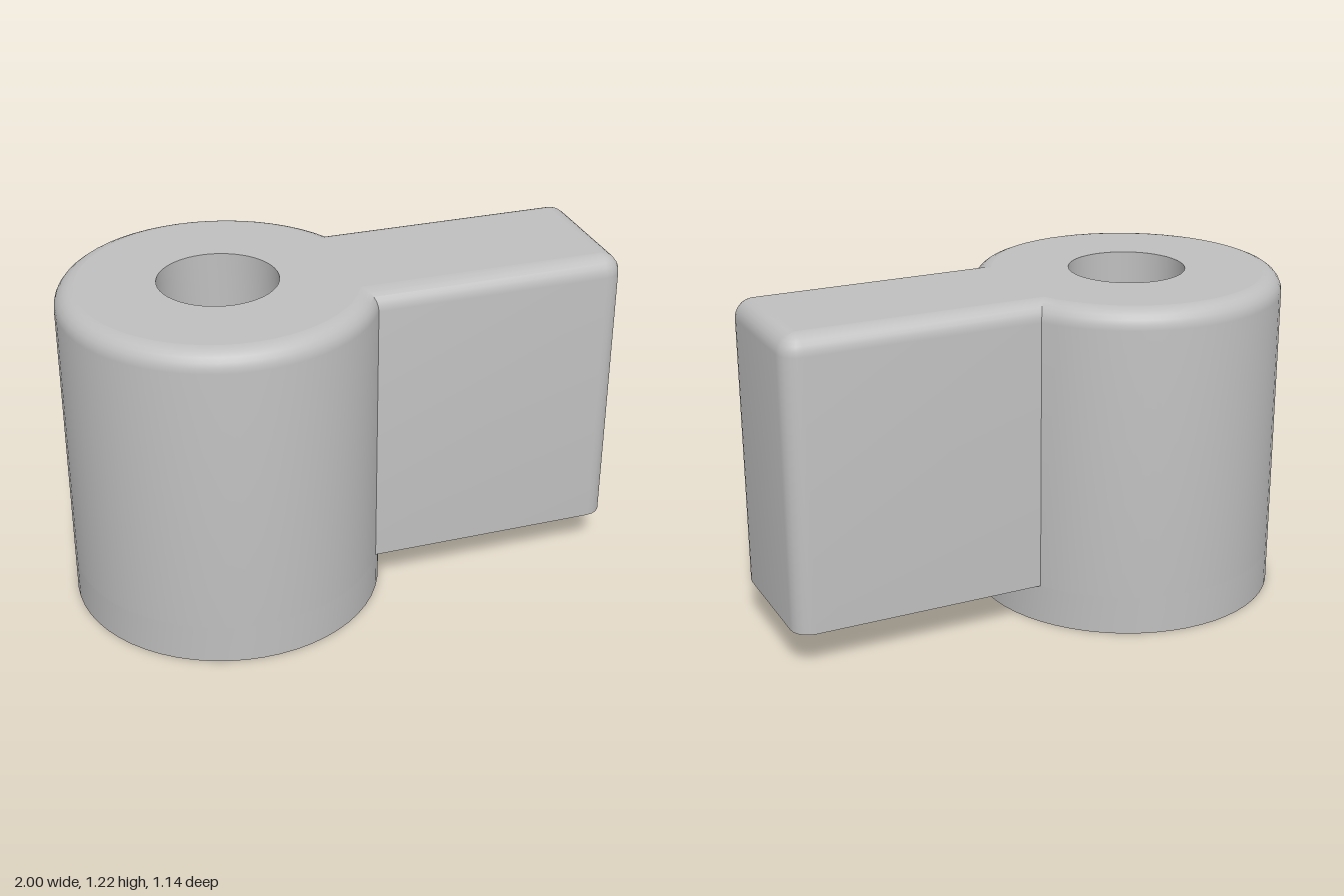
import * as THREE from 'three';
import { toCreasedNormals } from 'three/addons/utils/BufferGeometryUtils.js';

const CX = -0.43, R = 0.57, HALF = 0.285, END = 1;   // barrel centre and radius, arm half width and tip
const TOP = 1.22, ARM_Y = 0.145, FILLET = 0.07;
const HOLE_R = 0.145, BORE_R = 0.215, BORE_Y = 0.86;
const SLOT_R = 0.3, SLOT_HALF = 0.165, SLOT_Y = 0.7;

// Points of an arc, counter-clockwise from angle a to angle b
function arc(cx, cy, r, a, b, n) {
  return Array.from({ length: n + 1 }, (_, i) => {
    const t = a + (b - a) * i / n;
    return new THREE.Vector2(cx + r * Math.cos(t), cy + r * Math.sin(t));
  });
}
const circle = (r, n = 48) => arc(CX, 0, r, 0, Math.PI * 2, n).slice(0, -1);

// Inset outline pieces: the round barrel and the arm's rounded tip
const joint = (d) => Math.asin((HALF - d) / (R - d));
const barrelArc = (d) => arc(CX, 0, R - d, joint(d), Math.PI * 2 - joint(d), 48);
function armTip(d) {
  const r = FILLET + 0.001 - d, x = END - d - r, y = HALF - d - r;
  return [...arc(x, -y, r, -Math.PI / 2, 0, 5), ...arc(x, y, r, 0, Math.PI / 2, 5)];
}
const outline = (d) => [...barrelArc(d), ...armTip(d)];

// Wall through stacked outlines [{ pts, y }], facing outward or inward
function wall(rings, inward = false) {
  const pos = [];
  const put = (ring, i) => {
    const p = ring.pts[i % ring.pts.length];
    pos.push(p.x, ring.y, -p.y);
  };
  for (let j = 0; j < rings.length - 1; j++) {
    const lo = rings[j], hi = rings[j + 1];
    for (let i = 0; i < lo.pts.length; i++) {
      const quad = [[lo, i], [lo, i + 1], [hi, i + 1], [lo, i], [hi, i + 1], [hi, i]];
      if (inward) quad.reverse();
      quad.forEach(([ring, k]) => put(ring, k));
    }
  }
  const geo = new THREE.BufferGeometry();
  geo.setAttribute('position', new THREE.Float32BufferAttribute(pos, 3));
  geo.computeVertexNormals();
  return toCreasedNormals(geo, 0.6);
}

// Flat face at height y, facing up or down, with an optional hole
function face(pts, hole, y, up) {
  const shape = new THREE.Shape(pts);
  if (hole) shape.holes.push(new THREE.Path(hole));
  return new THREE.ShapeGeometry(shape).rotateX(up ? -Math.PI / 2 : Math.PI / 2).translate(0, y, 0);
}

export function createModel() {
  const group = new THREE.Group();
  const grey = new THREE.MeshStandardMaterial({ color: 0xbfbfbf });
  grey.name = 'light grey';
  const add = (name, geo) => {
    const mesh = new THREE.Mesh(geo, grey);
    mesh.name = name;
    group.add(mesh);
  };

  // Barrel and arm share one side wall, rounded over at the top
  const rings = [{ pts: outline(0), y: ARM_Y }];
  for (let j = 0; j <= 6; j++) {
    const t = j / 6 * Math.PI / 2;
    rings.push({ pts: outline(FILLET * (1 - Math.cos(t))), y: TOP - FILLET * (1 - Math.sin(t)) });
  }
  add('knobBody', wall(rings));
  add('knobTop', face(outline(FILLET), circle(BORE_R), TOP, true));

  // Underside of the arm and the round foot below it
  const a = joint(0);
  const frontArc = arc(CX, 0, R, -a, a, 10);
  add('armUnderside', face([...armTip(0), ...frontArc.slice().reverse()], null, ARM_Y, false));
  const foot = [...barrelArc(0), ...frontArc.slice(1, -1)];
  add('foot', wall([{ pts: foot, y: 0 }, { pts: foot, y: ARM_Y }]));

  // Slot for the shaft: round ends with two flats
  const s = Math.asin(SLOT_HALF / SLOT_R);
  const slot = [...arc(CX, 0, SLOT_R, -s, s, 12), ...arc(CX, 0, SLOT_R, Math.PI - s, Math.PI + s, 12)];
  add('footUnderside', face(foot, slot, 0, false));
  add('shaftSlot', wall([{ pts: slot, y: 0 }, { pts: slot, y: SLOT_Y }], true));
  add('slotCeiling', face(slot, circle(HOLE_R), SLOT_Y, false));

  // Screw hole with a wider bore above it
  const hole = circle(HOLE_R), bore = circle(BORE_R);
  add('screwHole', wall([{ pts: hole, y: SLOT_Y }, { pts: hole, y: BORE_Y }], true));
  add('boreFloor', face(bore, hole, BORE_Y, true));
  add('bore', wall([{ pts: bore, y: BORE_Y }, { pts: bore, y: TOP }], true));

  return group;
}
